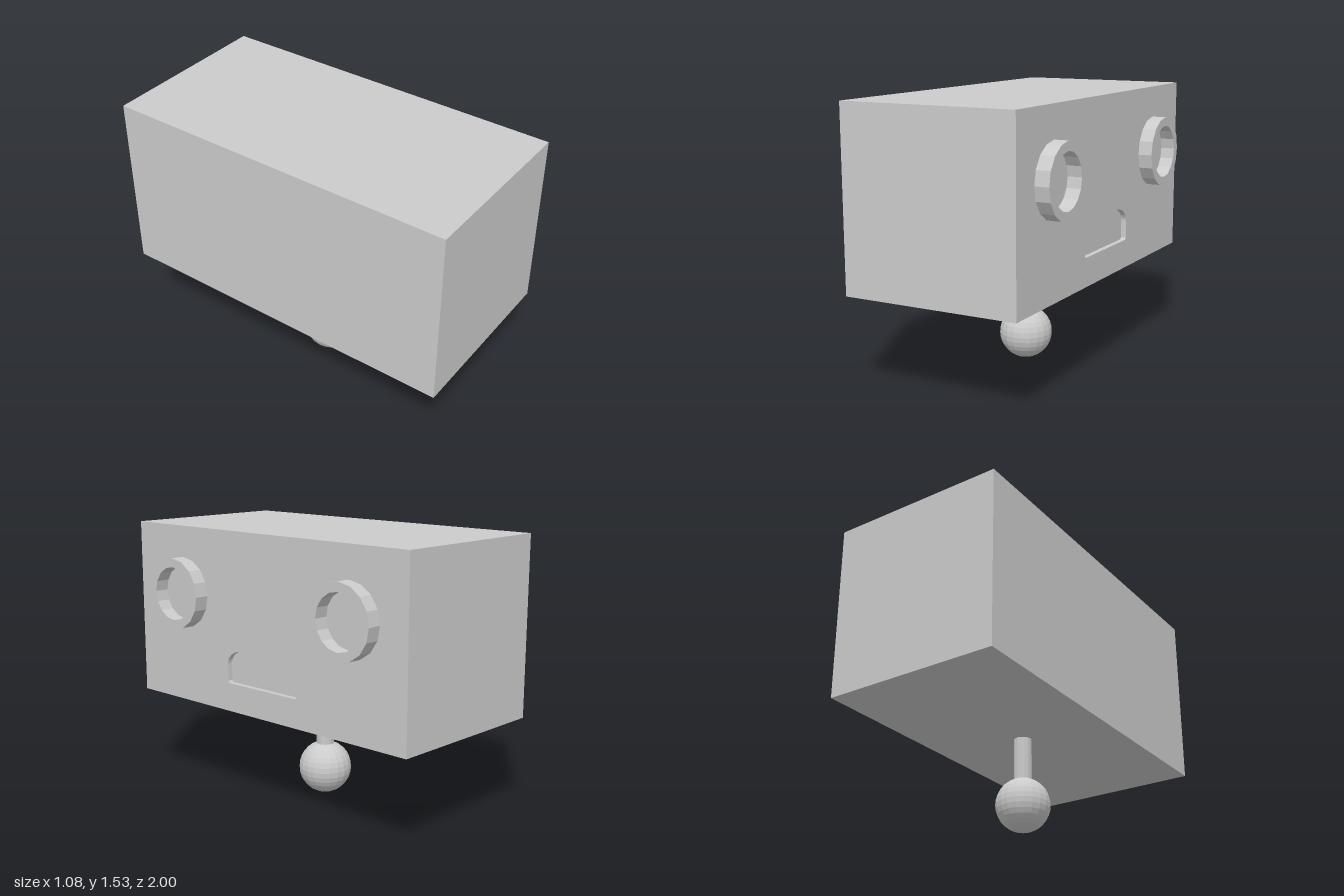
import * as THREE from 'three';

const material = new THREE.MeshStandardMaterial({ color: 0xcccccc, flatShading: true });

export function createModel() {
  const model = new THREE.Group();
  const add = (name, geometry, x, y, z) => {
    const mesh = new THREE.Mesh(geometry, material);
    mesh.name = name;
    mesh.position.set(x, y, z);
    model.add(mesh);
    return mesh;
  };
  // Extrudes a shape drawn in the side plane towards +x
  const extrudeX = (shape, depth, curveSegments) =>
    new THREE.ExtrudeGeometry(shape, { depth, bevelEnabled: false, curveSegments }).rotateY(Math.PI / 2);

  const recess = 0.03, faceX = 0.46, bottom = 0.53;

  // Main block, ending at the floor of the slot
  add('body', new THREE.BoxGeometry(1 - recess, 1, 2), -0.04 - recess / 2, bottom + 0.5, 0);

  // Face panel with the round-topped slot cut through it
  const panel = new THREE.Shape([[-1, 0], [1, 0], [1, 1], [-1, 1]].map(p => new THREE.Vector2(...p)));
  const slot = new THREE.Path();
  slot.moveTo(-0.255, 0.16);
  slot.lineTo(0.255, 0.16);
  slot.lineTo(0.265, 0.17);
  slot.lineTo(0.265, 0.265);
  slot.bezierCurveTo(0.265, 0.32, 0.2, 0.355, 0.11, 0.355);
  slot.lineTo(-0.11, 0.355);
  slot.bezierCurveTo(-0.2, 0.355, -0.265, 0.32, -0.265, 0.265);
  slot.lineTo(-0.265, 0.17);
  slot.closePath();
  panel.holes.push(slot);
  add('facePanel', extrudeX(panel, recess, 12), faceX - recess, bottom, 0);

  // Raised rings on the face
  const circle = (radius, Type) => new Type(Array.from({ length: 16 }, (_, i) => {
    const a = i * Math.PI / 8;
    return new THREE.Vector2(radius * Math.cos(a), radius * Math.sin(a));
  }));
  const ring = circle(0.2, THREE.Shape);
  ring.holes.push(circle(0.15, THREE.Path));
  for (const side of [-1, 1]) {
    add(side > 0 ? 'frontRing' : 'backRing', extrudeX(ring, 0.08, 1), faceX, 1.155, side * 0.625);
  }

  // Stem and ball underneath
  add('stem', new THREE.CylinderGeometry(0.05, 0.05, 0.34, 16), -0.04, 0.36, 0);
  add('ball', new THREE.SphereGeometry(0.15, 20, 16), -0.04, 0.15, 0);

  return model;
}
